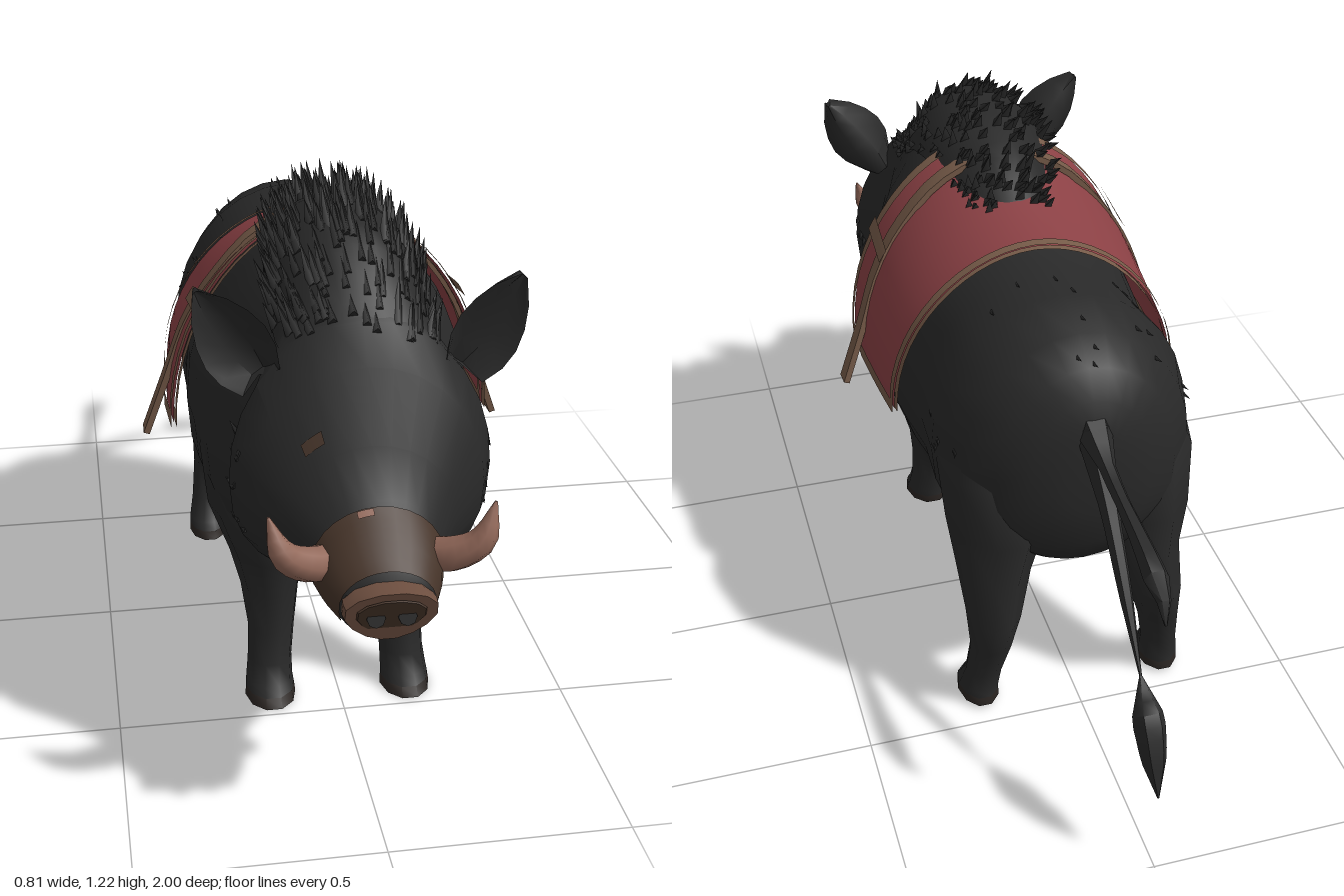
import * as THREE from 'three';
import { mergeGeometries, toCreasedNormals } from 'three/addons/utils/BufferGeometryUtils.js';

const V = (x, y, z) => new THREE.Vector3(x, y, z);
const mat = (name, color, side = THREE.FrontSide) => {
  const m = new THREE.MeshStandardMaterial({ color, side });
  m.name = name;
  return m;
};

// Body cross-sections: z, top, bottom, half width, height of widest point
const SECTIONS = [
  [-0.55, 0.81, 0.6, 0.07, 0.7], [-0.53, 0.87, 0.5, 0.135, 0.68], [-0.49, 0.925, 0.43, 0.2, 0.67],
  [-0.42, 0.965, 0.39, 0.255, 0.66], [-0.3, 0.99, 0.37, 0.292, 0.65], [-0.15, 0.975, 0.36, 0.28, 0.63],
  [0, 1.0, 0.32, 0.295, 0.63], [0.15, 1.04, 0.315, 0.305, 0.63], [0.28, 1.08, 0.34, 0.3, 0.63],
  [0.4, 1.09, 0.33, 0.285, 0.63], [0.5, 1.075, 0.35, 0.245, 0.64], [0.57, 1.045, 0.39, 0.22, 0.66],
  [0.66, 0.99, 0.425, 0.265, 0.67], [0.715, 0.915, 0.45, 0.24, 0.65], [0.77, 0.775, 0.465, 0.175, 0.61],
  [0.83, 0.69, 0.47, 0.13, 0.57], [0.9, 0.635, 0.465, 0.112, 0.55], [0.95, 0.595, 0.465, 0.088, 0.53]
];

function section(z) {
  let i = 0;
  while (i < SECTIONS.length - 2 && SECTIONS[i + 1][0] < z) i++;
  const a = SECTIONS[i], b = SECTIONS[i + 1];
  const t = THREE.MathUtils.clamp((z - a[0]) / (b[0] - a[0]), 0, 1);
  return a.map((v, k) => v + (b[k] - v) * t);
}

// Point on the hide at z and angle (0 = left side, PI/2 = spine), pushed out by off
function hide(z, ang, off = 0) {
  const [, top, bot, w, yc] = section(z);
  const s = Math.sin(ang), c = Math.cos(ang);
  const y = s > 0 ? (top - yc) * s : -(yc - bot) * Math.pow(-s, 0.8);
  const n = V(c / w, s / (top - yc), 0).normalize();
  return V(w * c + n.x * off, yc + y + n.y * off, z);
}

// Skin a list of point rings, closed around and optionally capped
function loft(rings, closed = true, crease = 1) {
  const n = rings[0].length, pos = [], idx = [];
  rings.forEach(r => r.forEach(p => pos.push(p.x, p.y, p.z)));
  for (let i = 0; i < rings.length - 1; i++)
    for (let j = 0; j < (closed ? n : n - 1); j++) {
      const k = (j + 1) % n, a = i * n + j, b = i * n + k;
      idx.push(a, b, a + n, b, b + n, a + n);
    }
  if (closed) [0, rings.length - 1].forEach((r, end) => {
    const c = rings[r].reduce((s, p) => s.add(p), V(0, 0, 0)).divideScalar(n);
    const ci = pos.length / 3;
    pos.push(c.x, c.y, c.z);
    for (let j = 0; j < n; j++) {
      const a = r * n + j, b = r * n + (j + 1) % n;
      if (end) idx.push(ci, a, b); else idx.push(ci, b, a);
    }
  });
  const g = new THREE.BufferGeometry();
  g.setAttribute('position', new THREE.Float32BufferAttribute(pos, 3));
  g.setIndex(idx);
  return toCreasedNormals(g, crease);
}

const ringOf = (n, f) => Array.from({ length: n }, (_, j) => f(j / n * Math.PI * 2));
const mirror = rings => rings.map(r => r.map(p => V(-p.x, p.y, p.z)).reverse());

// Open patch lying over the hide; off(u, v, angle) with u along z and v along the angle
function patch(z0, z1, a0, a1, off, nz = 8, na = 16) {
  const rows = [];
  for (let i = 0; i <= nz; i++) {
    const z = z0 + (z1 - z0) * i / nz, row = [];
    const from = typeof a0 === 'function' ? a0(z) : a0, to = typeof a1 === 'function' ? a1(z) : a1;
    for (let j = 0; j <= na; j++) {
      const a = from + (to - from) * j / na;
      row.push(hide(z, a, off(i / nz, j / na, a)));
    }
    rows.push(row);
  }
  return loft(rows, false);
}

// Tapered round tube
function taper(points, radii, sides = 6, steps = 10) {
  const curve = new THREE.CatmullRomCurve3(points), fr = curve.computeFrenetFrames(steps);
  return loft(Array.from({ length: steps + 1 }, (_, i) => {
    const t = i / steps, p = curve.getPointAt(t), f = t * (radii.length - 1);
    const k = Math.min(Math.floor(f), radii.length - 2);
    const r = radii[k] + (radii[k + 1] - radii[k]) * (f - k);
    return ringOf(sides, a => p.clone().addScaledVector(fr.normals[i], Math.cos(a) * r)
      .addScaledVector(fr.binormals[i], Math.sin(a) * r));
  }));
}

export function createModel() {
  const group = new THREE.Group();
  const fur = mat('black fur', 0x292929), hoof = mat('hoof', 0x2b2522), muzzle = mat('muzzle brown', 0x463429);
  const nose = mat('nose', 0x6e4f40), ivory = mat('tusk', 0x93695a);
  const cloth = mat('red cloth', 0x8a4044, THREE.DoubleSide), leather = mat('leather', 0x755a48, THREE.DoubleSide);
  const add = (name, geo, m) => {
    const mesh = new THREE.Mesh(geo, m);
    mesh.name = name;
    group.add(mesh);
    return mesh;
  };
  let seed = 7;
  const rnd = () => (seed = (seed * 16807) % 2147483647) / 2147483647;

  add('body', loft(SECTIONS.map(s => ringOf(28, a => hide(s[0], a)))), fur);

  // Legs from stacked ellipses: y, x centre, x radius, z centre, z radius
  const legs = {
    frontLeg: [[0.72, 0.17, 0.08, 0.33, 0.1], [0.6, 0.19, 0.105, 0.335, 0.13], [0.46, 0.18, 0.1, 0.34, 0.125],
      [0.34, 0.15, 0.085, 0.34, 0.105], [0.25, 0.145, 0.066, 0.335, 0.085], [0.16, 0.147, 0.052, 0.37, 0.058],
      [0.08, 0.152, 0.05, 0.375, 0.054], [0.035, 0.155, 0.053, 0.39, 0.06], [0.02, 0.155, 0.055, 0.4, 0.07],
      [0, 0.155, 0.057, 0.408, 0.077]],
    rearLeg: [[0.78, 0.15, 0.08, -0.33, 0.1], [0.64, 0.17, 0.118, -0.33, 0.16], [0.5, 0.165, 0.112, -0.35, 0.165],
      [0.38, 0.175, 0.085, -0.36, 0.135], [0.28, 0.19, 0.062, -0.415, 0.105], [0.19, 0.2, 0.048, -0.44, 0.052],
      [0.1, 0.213, 0.043, -0.42, 0.043], [0.045, 0.22, 0.046, -0.4, 0.055], [0.03, 0.22, 0.047, -0.39, 0.068],
      [0.01, 0.22, 0.048, -0.387, 0.075]]
  };
  for (const [name, rows] of Object.entries(legs)) {
    const rings = rows.map(([y, x, rx, z, rz]) => ringOf(10, a => V(x + rx * Math.cos(a), y, z + rz * Math.sin(a))));
    for (const side of ['Left', 'Right']) {
      const r = side === 'Left' ? rings : mirror(rings);
      add(name + side, loft(r.slice(0, -1)), fur);
      add(name + side + 'Hoof', loft(r.slice(-2)), hoof);
    }
  }

  // Cupped ears with an angular tip, opening forward
  const earWidth = [0.045, 0.066, 0.071, 0.062, 0.042, 0.008];
  const ear = earWidth.map((h, i) => {
    const t = i / (earWidth.length - 1);
    return ringOf(10, a => V(0.2 + 0.12 * t + 0.81 * h * Math.cos(a), 0.88 + 0.18 * t - 0.585 * h * Math.cos(a),
      0.595 + 0.035 * t + 0.085 * Math.cos(a) ** 2 * (1 - 0.75 * t) - 0.013 * Math.sin(a)));
  });
  add('earLeft', loft(ear), fur);
  add('earRight', loft(mirror(ear)), fur);

  // Muzzle band, tilted nose disc, nostrils and brow scar
  add('muzzleBand', patch(0.845, 0.95, -0.3, Math.PI + 0.3, () => 0.005, 5), muzzle);
  add('muzzleSpot', patch(0.85, 0.862, 1.65, 1.9, () => 0.009, 2, 4), ivory);
  const noseRing = (z, s) => ringOf(14, a => V((0.088 + 0.02 * Math.sin(a)) * s * Math.cos(a),
    0.523 + 0.059 * s * Math.sin(a), z + 0.018 * Math.sin(a)));
  add('nose', loft([noseRing(0.92, 0.97), noseRing(0.96, 1.02), noseRing(0.982, 1)], true, 0.6), nose);
  add('noseFace', loft([noseRing(0.981, 0.76), noseRing(0.985, 0.73)], true, 0.6), muzzle);
  for (const s of [-1, 1]) {
    const n = add('nostril', new THREE.CylinderGeometry(0.018, 0.018, 0.006, 8), fur);
    n.rotation.x = Math.PI / 2 - 0.3;
    n.position.set(s * 0.03, 0.525, 0.987);
    add('tusk', taper([V(s * 0.085, 0.575, 0.84), V(s * 0.14, 0.59, 0.88), V(s * 0.19, 0.625, 0.9), V(s * 0.217, 0.7, 0.89)],
      [0.036, 0.036, 0.027, 0.003], 8), ivory);
  }
  add('browScar', patch(0.751, 0.761, 2.06, 2.3, () => 0.005, 2, 4), muzzle);

  // Mane: raised crest with backward-leaning bristles
  const maneHalf = z => Math.asin(Math.min(0.9, (0.04 + 0.12 * Math.sqrt(THREE.MathUtils.clamp(z / 0.45, 0, 1))) / section(z)[3]));
  const crest = (u, v) => 0.05 * Math.sin(Math.PI * v) * Math.min(1, 5 * u, 4 * (1 - u)) + 0.015 * Math.sin(Math.PI * u);
  add('maneBase', patch(0.01, 0.68, z => Math.PI / 2 - maneHalf(z), z => Math.PI / 2 + maneHalf(z),
    (u, v) => crest(u, v) - 0.005, 14, 10), fur);
  const bristle = (z, a, off, len, lean, r) => {
    const p = hide(z, a, off), d = V(Math.cos(a) * 0.7, Math.sin(a), -lean).normalize();
    const g = new THREE.ConeGeometry(r, len, 3);
    g.translate(0, len * 0.4, 0);
    g.applyQuaternion(new THREE.Quaternion().setFromUnitVectors(V(0, 1, 0), d));
    return g.translate(p.x, p.y, p.z);
  };
  const bristles = [];
  for (let i = 0; i < 260; i++) {
    const z = 0.06 + 0.61 * rnd(), v = rnd();
    bristles.push(bristle(z, Math.PI / 2 + (v * 2 - 1) * maneHalf(z), crest((z - 0.01) / 0.67, v) - 0.01,
      0.07 + 0.04 * rnd(), 0.8 + 0.7 * rnd(), 0.015));
  }
  add('maneBristles', mergeGeometries(bristles), fur);
  const stray = [];
  for (let i = 0; i < 24; i++) stray.push(bristle(-0.48 + 0.35 * rnd(), Math.PI * rnd(), -0.003, 0.035, 3, 0.006));
  for (let i = 0; i < 18; i++) stray.push(bristle(0.62 + 0.07 * rnd(), (i % 2 ? Math.PI : 0) + 0.7 * (rnd() - 0.5), -0.003, 0.05, 2.5, 0.008));
  add('strayBristles', mergeGeometries(stray), fur);

  // Tail with an upper strand, a thin lower strand and a tuft
  add('tailUpper', taper([V(0, 0.8, -0.53), V(0, 0.765, -0.64), V(0, 0.73, -0.88), V(0, 0.7, -0.965), V(0, 0.655, -0.98)],
    [0.04, 0.018, 0.016, 0.02, 0.026, 0.003]), fur);
  add('tailLower', taper([V(0, 0.8, -0.53), V(0, 0.64, -0.68), V(0, 0.42, -0.865)], [0.04, 0.02, 0.015, 0.003]), fur);
  add('tailTuft', taper([V(0, 0.42, -0.865), V(0, 0.33, -0.935), V(0, 0.205, -0.998)], [0.003, 0.036, 0.028, 0.002]), fur);

  // Saddle cloth with a leather border, flaring away from the flanks
  const flare = extra => (u, v, a) => 0.016 + 0.03 * Math.abs(Math.cos(a)) ** 3 + extra;
  const clothPatch = (z0, z1, a0, a1, e) => patch(z0, z1, a0, a1, flare(e), 6, 28);
  add('saddleCloth', clothPatch(-0.1, 0.285, 0, Math.PI, 0), cloth);
  for (const e of [0.006, -0.006]) {
    add('clothBorderFront', clothPatch(0.262, 0.288, -0.01, Math.PI + 0.01, e), leather);
    add('clothBorderBack', clothPatch(-0.104, -0.084, -0.01, Math.PI + 0.01, e), leather);
    add('clothHemLeft', clothPatch(-0.1, 0.285, -0.015, 0.05, e), leather);
    add('clothHemRight', clothPatch(-0.1, 0.285, Math.PI - 0.05, Math.PI + 0.015, e), leather);
  }

  // Girth strap hanging free at both ends, with short cross straps
  const half = [V(0.4, 0.56, 0.155), V(0.35, 0.7, 0.165), V(0.305, 0.83, 0.18), V(0.245, 0.93, 0.195), V(0.14, 1.04, 0.2)];
  const path = new THREE.CatmullRomCurve3([...half, V(0, 1.09, 0.2), ...half.map(p => V(-p.x, p.y, p.z)).reverse()]);
  add('girthStrap', loft(Array.from({ length: 33 }, (_, i) => {
    const p = path.getPoint(i / 32), t = path.getTangent(i / 32);
    const u = V(t.y, -t.x, 0).normalize(), v = t.clone().cross(u);
    return [[1, 1], [-1, 1], [-1, -1], [1, -1]].map(([a, b]) =>
      p.clone().addScaledVector(u, a * 0.007).addScaledVector(v, b * 0.021));
  }), true, 0.6), leather);
  for (const a of [0.6, Math.PI - 0.6])
    add('crossStrap', patch(0.15, 0.285, a - 0.04, a + 0.04, flare(0.014), 4, 4), leather);

  return group;
}
